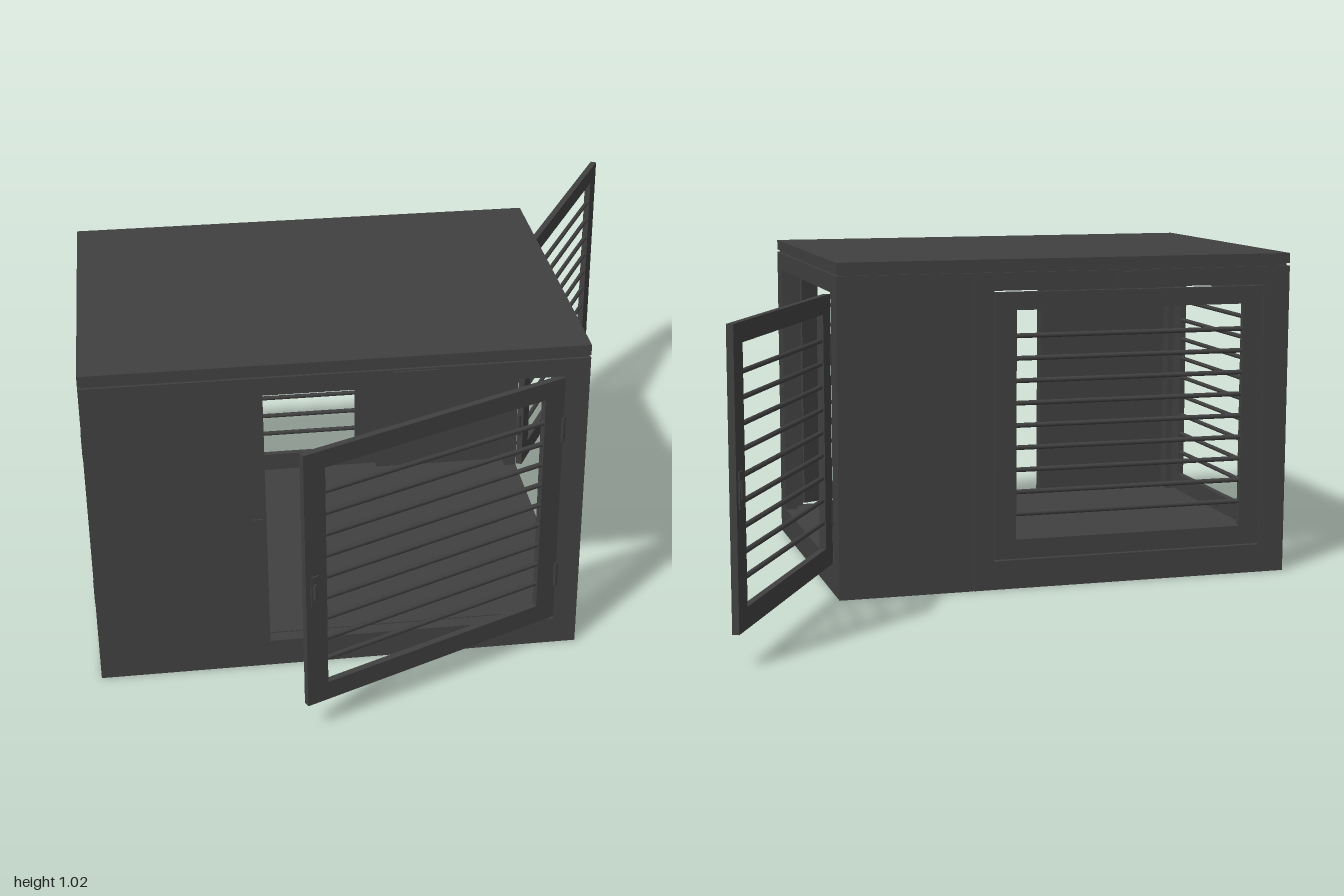
import * as THREE from 'three';

const mat = new THREE.MeshStandardMaterial({ color: 0x404040 });
const X0 = -0.93, X1 = 0.52, Z0 = -0.37, Z1 = 0.65;   // outer footprint
const T = 0.04, WALL_TOP = 0.98, ROOF_TOP = 1.02;

function add(parent, name, geometry, x = 0, y = 0, z = 0) {
  const mesh = new THREE.Mesh(geometry, mat);
  mesh.name = name;
  mesh.position.set(x, y, z);
  parent.add(mesh);
  return mesh;
}

// box given by its minimum and maximum corners
function block(parent, name, a, b) {
  const s = b.map((v, i) => v - a[i]);
  return add(parent, name, new THREE.BoxGeometry(...s), ...a.map((v, i) => v + s[i] / 2));
}

// flat rectangular panel with an optional rectangular hole: [x0, x1, y0, y1]
function panel([x0, x1, y0, y1], hole, depth) {
  const rect = (C, a, b, c, d) => {
    const p = new C();
    p.moveTo(a, c).lineTo(b, c).lineTo(b, d).lineTo(a, d).closePath();
    return p;
  };
  const shape = rect(THREE.Shape, x0, x1, y0, y1);
  if (hole) shape.holes.push(rect(THREE.Path, ...hole));
  return new THREE.ExtrudeGeometry(shape, { depth, bevelEnabled: false });
}

// barred door running from its hinge to its free edge, both [x, z]; outside is local -z
function door(name, hinge, free, handle) {
  const g = new THREE.Group();
  g.name = name;
  const dx = free[0] - hinge[0], dz = free[1] - hinge[1];
  const w = Math.hypot(dx, dz), stile = 0.067, y0 = 0.095, y1 = 0.92, t = 0.02;
  const lo = 0.155, hi = 0.865;
  add(g, 'doorFrame', panel([0, w, y0, y1], [stile, w - stile, lo, hi], t), 0, 0, -t / 2);
  // horizontal bars
  for (let i = 1; i <= 9; i++) {
    const bar = new THREE.CylinderGeometry(0.0075, 0.0075, w - 2 * stile + 0.01, 8).rotateZ(Math.PI / 2);
    add(g, 'bar', bar, w / 2, lo + 0.01 + (i * (hi - lo - 0.02)) / 10, 0);
  }
  if (handle) {
    // hinge knuckles
    for (const y of [0.25, 0.75])
      add(g, 'hinge', new THREE.CylinderGeometry(0.009, 0.009, 0.08, 10), 0, y, -0.006);
    // latch handle near the free edge
    block(g, 'latchPlate', [w - 0.04, 0.43, -0.014], [w - 0.015, 0.53, -0.009]);
    add(g, 'latchBolt', new THREE.CylinderGeometry(0.006, 0.006, 0.05, 8), w - 0.027, 0.48, -0.014);
  }
  g.position.set(hinge[0], 0, hinge[1]);
  g.rotation.y = Math.atan2(-dz, dx);
  return g;
}

export function createModel() {
  const root = new THREE.Group();
  root.name = 'petCrate';

  // floor, ceiling groove and roof
  block(root, 'floor', [X0 + T, 0, Z0 + T], [X1 - T, 0.09, Z1 - T]);
  block(root, 'roofGroove', [X0 + 0.008, WALL_TOP - 0.01, Z0 + 0.008], [X1 - 0.008, 0.99, Z1 - 0.008]);
  block(root, 'roof', [X0, 0.988, Z0], [X1, ROOF_TOP, Z1]);

  // front wall
  add(root, 'frontWall', panel([X0, X1, 0, WALL_TOP], [-0.42, 0.45, 0.087, 0.925], T), 0, 0, Z1 - T);

  // back wall in two panels with a narrow joint between them
  const seam = 0.1;
  add(root, 'backWindowWall', panel([X0, seam - 0.002, 0, WALL_TOP], [-0.845, 0.035, 0.09, 0.925], T), 0, 0, Z0);
  block(root, 'backPanel', [seam + 0.002, 0, Z0], [X1, WALL_TOP, Z0 + T]);
  block(root, 'jointStrip', [seam - 0.002, 0, Z0 + 0.008], [seam + 0.002, WALL_TOP, Z0 + T]);

  // side walls (drawn along -z, then turned)
  for (const [name, x] of [['rightWall', X1 - T], ['leftWall', X0]]) {
    const geo = panel([-Z1 + T, -Z0 - T, 0, WALL_TOP], [-0.56, 0.28, 0.09, 0.925], T).rotateY(Math.PI / 2);
    add(root, name, geo, x, 0, 0);
  }

  // doors: two swung open, two closed
  root.add(door('frontDoor', [0.445, 0.64], [-0.345, 0.985], true));
  root.add(door('sideDoor', [0.53, -0.275], [0.925, -0.995], true));
  root.add(door('closedSideDoor', [X0 + 0.01, 0.558], [X0 + 0.01, -0.278], true));
  root.add(door('closedBackDoor', [-0.842, Z0 + 0.008], [0.032, Z0 + 0.008], false));

  // strike plates beside the latches
  block(root, 'frontStrike', [-0.46, 0.44, Z1], [-0.43, 0.52, Z1 + 0.005]);
  block(root, 'rightStrike', [X1, 0.44, 0.57], [X1 + 0.005, 0.52, 0.6]);
  block(root, 'leftStrike', [X0 - 0.005, 0.44, -0.34], [X0, 0.52, -0.31]);

  // door stops above the long-side openings
  block(root, 'frontStop', [-0.05, 0.935, Z1], [0.08, 0.975, Z1 + 0.005]);
  block(root, 'backStop', [-0.49, 0.935, Z0 - 0.006], [-0.36, 0.975, Z0]);

  return root;
}
